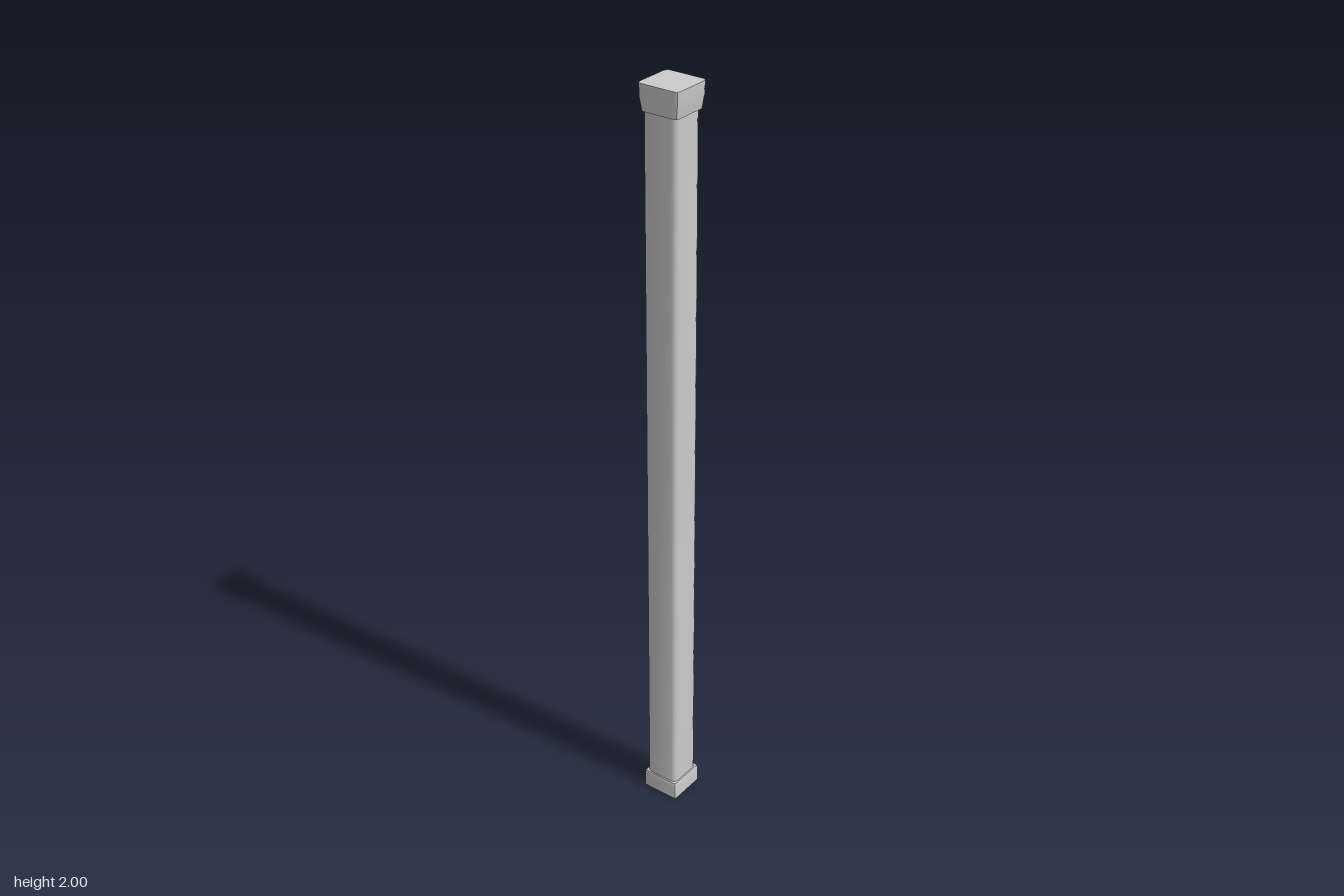
import * as THREE from 'three';
import { toCreasedNormals } from 'three/addons/utils/BufferGeometryUtils.js';

const CORNER_STEPS = 2;

// Rounded-square outline in the xz plane, half sizes w and d
function outline(w, d, r) {
  const pts = [];
  const corners = [[1, 1], [-1, 1], [-1, -1], [1, -1]];
  corners.forEach(([sx, sz], q) => {
    for (let i = 0; i <= CORNER_STEPS; i++) {
      const a = (q + i / CORNER_STEPS) * Math.PI / 2;
      pts.push([sx * (w - r) + r * Math.cos(a), sz * (d - r) + r * Math.sin(a)]);
    }
  });
  return pts;
}

// Skin through sections [y, half width, half depth, corner radius]
function loft(name, sections, crease, closeTop = false) {
  const pos = [], index = [];
  const n = 4 * (CORNER_STEPS + 1);
  for (const [y, w, d, r] of sections) {
    for (const [x, z] of outline(w, d, r)) pos.push(x, y, z);
  }
  for (let s = 0; s < sections.length - 1; s++) {
    for (let i = 0; i < n; i++) {
      const a = s * n + i, b = s * n + (i + 1) % n;
      index.push(a, a + n, b, b, a + n, b + n);
    }
  }
  if (closeTop) {
    const first = (sections.length - 1) * n;
    for (let i = 1; i < n - 1; i++) index.push(first, first + i + 1, first + i);
  }
  const geo = new THREE.BufferGeometry();
  geo.setAttribute('position', new THREE.Float32BufferAttribute(pos, 3));
  geo.setIndex(index);
  const mat = new THREE.MeshStandardMaterial({ color: 0xcccccc, side: THREE.DoubleSide });
  const mesh = new THREE.Mesh(toCreasedNormals(geo, crease), mat);
  mesh.name = name;
  return mesh;
}

export function createModel() {
  const group = new THREE.Group();
  group.name = 'post';

  // Long hollow shaft with softened corners
  const shaft = loft('shaft', [
    [0.04, 0.046, 0.046, 0.012],
    [1.95, 0.046, 0.046, 0.012],
  ], 1.0);
  shaft.position.x = -0.002;

  // Open-bottomed foot: ceiling, inner wall, rim, outer wall, top ledge
  const foot = loft('foot', [
    [0.04, 0.022, 0.022, 0.003],
    [0.04, 0.046, 0.046, 0.003],
    [0, 0.048, 0.048, 0.003],
    [0, 0.052, 0.052, 0.004],
    [0.043, 0.052, 0.052, 0.004],
    [0.05, 0.050, 0.050, 0.004],
    [0.05, 0.044, 0.044, 0.004],
  ], 0.5);
  foot.position.x = -0.002;

  // Slightly flared cap with a flat top
  const cap = loft('cap', [
    [1.935, 0.044, 0.044, 0.008],
    [1.935, 0.050, 0.050, 0.009],
    [1.965, 0.055, 0.053, 0.010],
    [2, 0.056, 0.054, 0.010],
  ], 0.5, true);

  group.add(shaft, foot, cap);
  return group;
}
